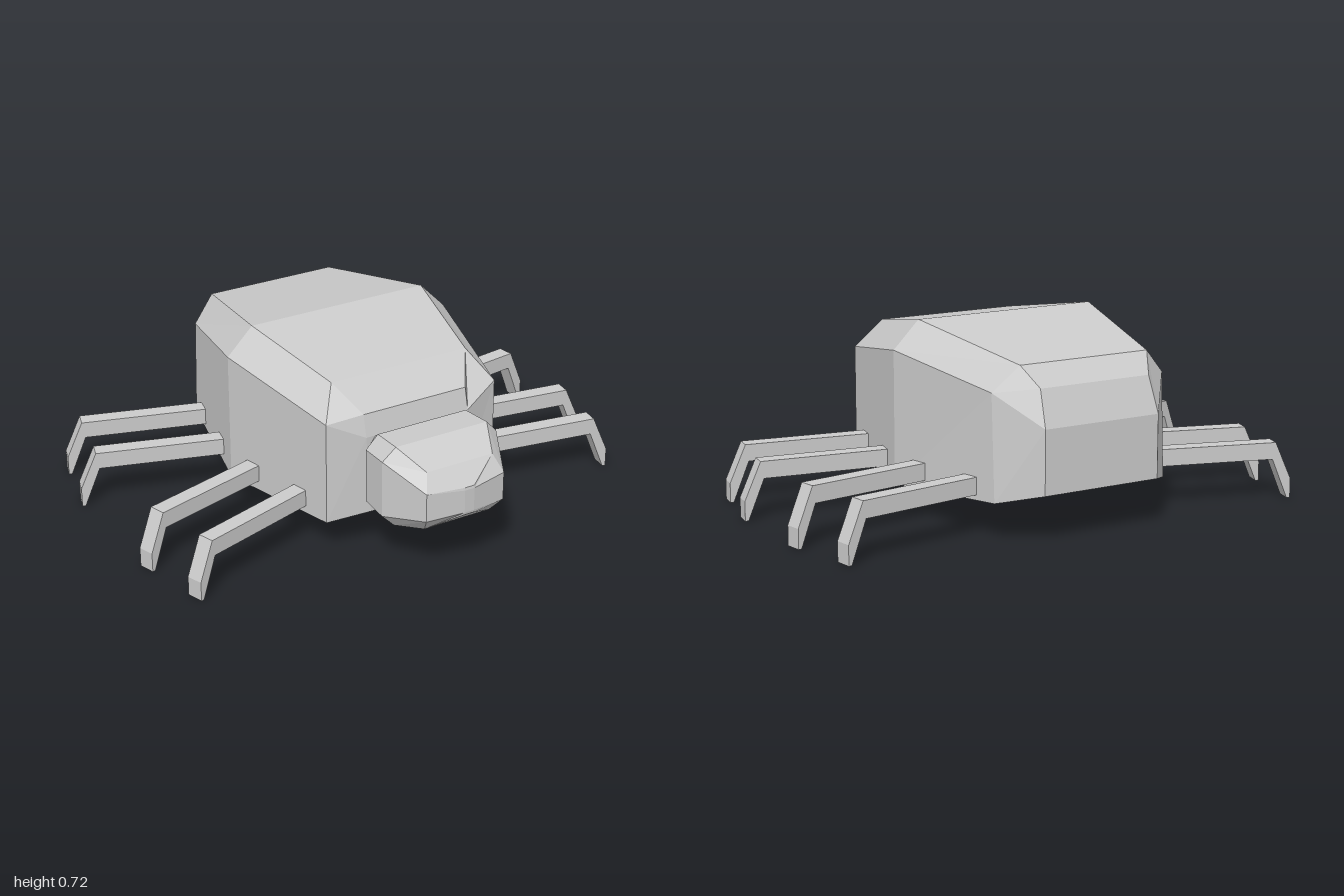
import * as THREE from 'three';

const CENTER_X = -0.01;
const material = new THREE.MeshStandardMaterial({ color: 0xcccccc, flatShading: true });

// Skins mirrored rings, listed front to back. Each ring gives its +x half
// as [x, y, z] from bottom to top; both ends are closed.
function loft(name, halves) {
  const positions = [];
  const quad = (a, b, c, d) => positions.push(...a, ...b, ...c, ...a, ...c, ...d);
  const rings = halves.map((half) => [
    ...half.map(([x, y, z]) => [CENTER_X + x, y, z]),
    ...half.map(([x, y, z]) => [CENTER_X - x, y, z]).reverse(),
  ]);
  const n = rings[0].length;
  for (let i = 0; i < rings.length - 1; i++) {
    for (let j = 0; j < n; j++) {
      const k = (j + 1) % n;
      quad(rings[i][j], rings[i + 1][j], rings[i + 1][k], rings[i][k]);
    }
  }
  const first = rings[0];
  const last = rings[rings.length - 1];
  for (let j = 0; j < n / 2 - 1; j++) {
    const l = n - 1 - j;
    quad(first[j], first[j + 1], first[l - 1], first[l]);
    quad(last[j], last[l], last[l - 1], last[j + 1]);
  }
  const geometry = new THREE.BufferGeometry();
  geometry.setAttribute('position', new THREE.Float32BufferAttribute(positions, 3));
  geometry.computeVertexNormals();
  const mesh = new THREE.Mesh(geometry, material);
  mesh.name = name;
  return mesh;
}

// Bent leg: a straight beam, a knee and a pointed foot, from (x0, z0) to (x1, z1)
function createLeg(name, x0, z0, x1, z1) {
  const length = Math.hypot(x1 - x0, z1 - z0);
  const width = 0.065;
  const profile = new THREE.Shape([
    [0, 0.155], [length - 0.075, 0.155], [length - 0.013, 0],
    [length, 0], [length, 0.075], [length - 0.063, 0.22], [0, 0.22],
  ].map(([s, y]) => new THREE.Vector2(s, y)));
  const geometry = new THREE.ExtrudeGeometry(profile, { depth: width, bevelEnabled: false });
  geometry.translate(0, 0, -width / 2);
  const leg = new THREE.Mesh(geometry, material);
  leg.name = name;
  leg.position.set(x0, 0, z0);
  leg.rotation.y = -Math.atan2(z1 - z0, x1 - x0);
  return leg;
}

export function createModel() {
  const model = new THREE.Group();
  model.name = 'beetle';

  // Body: bottom edge, shoulder and top edge at each station
  model.add(loft('body', [
    [[0.2, 0.15, 0.44], [0.22, 0.46, 0.44], [0.22, 0.545, 0.42]],
    [[0.365, 0.13, 0.4], [0.365, 0.53, 0.4], [0.29, 0.645, 0.31]],
    [[0.48, 0.11, -0.13], [0.48, 0.615, -0.13], [0.375, 0.72, -0.13]],
    [[0.365, 0.14, -0.65], [0.365, 0.535, -0.63], [0.27, 0.63, -0.665]],
    [[0.24, 0.18, -0.785], [0.24, 0.42, -0.785], [0.23, 0.555, -0.735]],
  ]));

  // Head: bottom, lower side, upper side and top at each station
  model.add(loft('head', [
    [[0.02, 0.25, 0.785], [0.02, 0.26, 0.787], [0.02, 0.35, 0.787], [0.02, 0.36, 0.785]],
    [[0.14, 0.19, 0.71], [0.165, 0.25, 0.76], [0.165, 0.36, 0.76], [0.14, 0.425, 0.72]],
    [[0.2, 0.17, 0.6], [0.245, 0.215, 0.59], [0.245, 0.435, 0.59], [0.195, 0.487, 0.6]],
    [[0.2, 0.18, 0.465], [0.24, 0.22, 0.47], [0.24, 0.43, 0.47], [0.19, 0.48, 0.47]],
    [[0.18, 0.19, 0.43], [0.21, 0.23, 0.43], [0.21, 0.41, 0.43], [0.18, 0.45, 0.43]],
  ]));

  // Legs: four a side; the right ones splay wider
  const legs = [
    ['front', 0.39, 0.255, 0.94, 0.09, 0.17],
    ['midFront', 0.44, -0.005, 1.0, 0.085, 0.16],
    ['midRear', 0.44, -0.26, 1.0, -0.085, -0.165],
    ['rear', 0.39, -0.53, 0.94, -0.08, -0.16],
  ];
  for (const [part, inner, z, outer, leftSplay, rightSplay] of legs) {
    model.add(createLeg(`${part}LeftLeg`, inner - 0.01, z, outer - 0.008, z + leftSplay));
    model.add(createLeg(`${part}RightLeg`, -inner - 0.01, z, -outer + 0.008, z + rightSplay));
  }
  return model;
}
